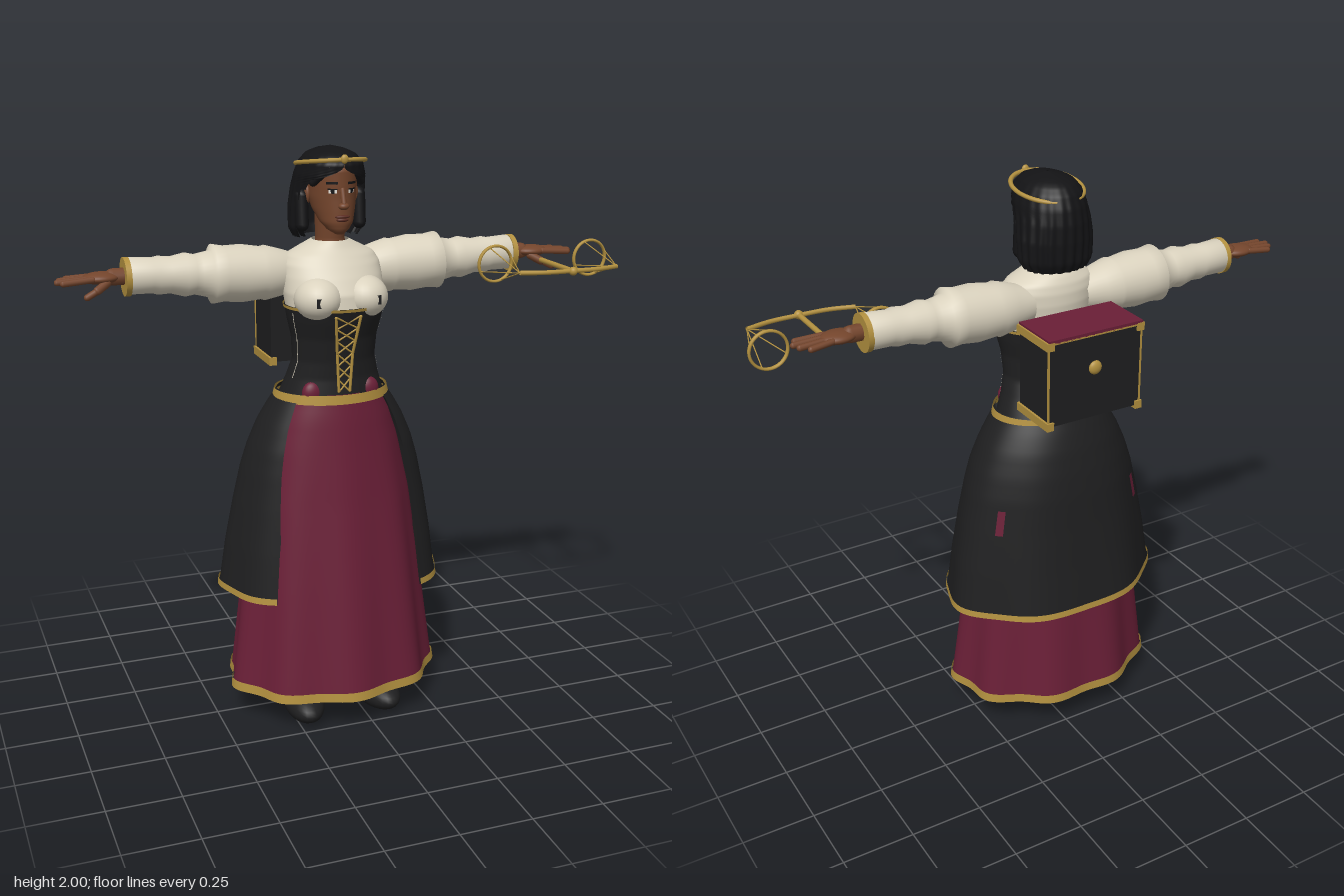
import * as THREE from 'three';
import { mergeVertices } from 'three/addons/utils/BufferGeometryUtils.js';

const paint = (name, color) => new THREE.MeshStandardMaterial({ name, color, side: THREE.DoubleSide });
const M = {
  black: paint('black cloth', 0x1f1f20), hair: paint('black hair', 0x131315), red: paint('wine red', 0x6a1f37),
  gold: paint('gold', 0xb2903f), cream: paint('cream linen', 0xdad2be), skin: paint('brown skin', 0x74452c),
  lip: paint('lip', 0x5a2c22), white: paint('eye white', 0xe8e4dc),
};
const V = (x, y, z) => new THREE.Vector3(x, y, z);

// Point on a stack of elliptical sections, each [y, half width, front z, back z]; angle 0 is the front
function surfacePoint(rows, a, y, { off = 0, amp = 0, n = 8 } = {}) {
  let i = 0;
  while (i < rows.length - 2 && y > rows[i + 1][0]) i++;
  const p = rows[i], q = rows[i + 1], t = THREE.MathUtils.clamp((y - p[0]) / (q[0] - p[0]), 0, 1);
  const [w, f, b] = [1, 2, 3].map(k => p[k] + (q[k] - p[k]) * t);
  const top = rows[rows.length - 1][0];
  const fold = 1 + amp * (top - y) / (top - rows[0][0]) * Math.cos(n * a);
  return V((w * fold + off) * Math.sin(a), y, (f + b) / 2 + ((f - b) / 2 * fold + off) * Math.cos(a));
}

// Smooth sheet over those sections; open(y) gives the half angle left open at the front
function loft(rows, o = {}) {
  const { ya = rows[0][0], yb = rows[rows.length - 1][0], a0 = 0, a1 = Math.PI * 2, open, seg = 72 } = o;
  const ys = [];
  for (let i = 0; i <= 36; i++) ys.push(ya + (yb - ya) * i / 36);
  const pos = [], idx = [];
  ys.forEach((y, j) => {
    const s = open ? open(y) : a0, e = open ? Math.PI * 2 - s : a1;
    for (let i = 0; i <= seg; i++) {
      pos.push(...surfacePoint(rows, s + (e - s) * i / seg, y, o).toArray());
      if (i < seg && j < 36) {
        const k = j * (seg + 1) + i, u = k + seg + 1;
        idx.push(k, k + 1, u + 1, k, u + 1, u);
      }
    }
  });
  let g = new THREE.BufferGeometry();
  g.setAttribute('position', new THREE.Float32BufferAttribute(pos, 3));
  g.setIndex(idx);
  g = mergeVertices(g, 1e-5);
  g.computeVertexNormals();
  return g;
}

export function createModel() {
  const root = new THREE.Group();
  root.name = 'womanWithScales';
  const body = new THREE.Group();
  body.name = 'figure';
  body.position.x = -0.07;
  root.add(body);

  const add = (name, geo, mat, p = [0, 0, 0], s = [1, 1, 1], parent = body) => {
    const m = new THREE.Mesh(geo, mat);
    m.name = name;
    m.position.set(...p);
    m.scale.set(...s);
    parent.add(m);
    return m;
  };
  const ball = new THREE.SphereGeometry(1, 28, 20);
  const box = (...d) => new THREE.BoxGeometry(...d);
  const rod = (name, a, b, r, mat, parent = body) => {
    const m = add(name, new THREE.CapsuleGeometry(r, Math.max(a.distanceTo(b) - r, 0.001), 4, 10), mat,
      a.clone().lerp(b, 0.5).toArray(), [1, 1, 1], parent);
    m.quaternion.setFromUnitVectors(V(0, 1, 0), b.clone().sub(a).normalize());
    return m;
  };

  // Skirts with gold hems
  const skirt = [[0.12, 0.37, 0.29, -0.275], [0.5, 0.325, 0.24, -0.24], [0.8, 0.285, 0.2, -0.205],
    [1, 0.24, 0.178, -0.17], [1.1, 0.205, 0.168, -0.145], [1.19, 0.16, 0.155, -0.12]];
  const folds = { amp: 0.035, n: 9 };
  add('underskirt', loft(skirt, { ...folds, seg: 120 }), M.red);
  add('underskirtHem', loft(skirt, { ...folds, seg: 120, yb: 0.152, off: 0.006 }), M.gold);
  const over = [[0.485, 0.395, 0.275, -0.275], [0.65, 0.373, 0.255, -0.25], [0.8, 0.345, 0.238, -0.23],
    [0.92, 0.318, 0.225, -0.217], [1, 0.293, 0.215, -0.203], [1.08, 0.258, 0.195, -0.183],
    [1.14, 0.222, 0.178, -0.16], [1.19, 0.188, 0.16, -0.135]];
  const drape = { amp: 0.022, n: 7, open: y => 0.72 + 0.15 * Math.max(0, (y - 0.7) / 0.49) };
  add('overskirt', loft(over, drape), M.black);
  add('overskirtHem', loft(over, { ...drape, yb: 0.507, off: 0.006 }), M.gold);
  for (const a of [2.2, Math.PI * 2 - 2.2])
    add('skirtPatch', loft(over, { amp: 0.022, n: 7, ya: 0.8, yb: 0.89, a0: a - 0.05, a1: a + 0.05, off: 0.004, seg: 4 }), M.red);

  // Bodice, belt and lacing
  const bodice = [[1.17, 0.185, 0.155, -0.125], [1.24, 0.16, 0.148, -0.09], [1.3, 0.143, 0.153, -0.066],
    [1.38, 0.148, 0.168, -0.07], [1.44, 0.162, 0.19, -0.086], [1.49, 0.17, 0.205, -0.095]];
  add('bodice', loft(bodice), M.black);
  add('bodiceTrim', loft(bodice, { ya: 1.48, yb: 1.49, off: 0.005 }), M.gold);
  const belt = [[1.16, 0.2, 0.166, -0.14], [1.192, 0.192, 0.162, -0.135]];
  add('belt', loft(belt, { off: 0.005 }), M.gold);
  const lace = (t, side) => surfacePoint(bodice, side * (0.11 + 0.15 * t), 1.2 + 0.265 * t, { off: 0.003 });
  for (const s of [-1, 1]) {
    rod('laceRail', lace(0, s), lace(0.5, s), 0.005, M.gold);
    rod('laceRail', lace(0.5, s), lace(1, s), 0.005, M.gold);
    for (let i = 0; i < 6; i++) rod('lace', lace(i / 6, s), lace((i + 1) / 6, -s), 0.003, M.gold);
    add('redTuft', ball, M.red, [s * 0.1, 1.195, 0.115], [0.036, 0.04, 0.025]);
    add('bustClasp', box(0.022, 0.03, 0.02), M.black, [s * 0.1, 1.515, 0.196]);
    const a = s * 1.25;
    add('bodiceSeam', loft(bodice, { ya: 1.24, yb: 1.47, a0: a - 0.012, a1: a + 0.012, off: 0.003, seg: 2 }), M.cream);
  }

  // Blouse and neck
  const blouse = [[1.48, 0.165, 0.19, -0.09], [1.53, 0.172, 0.185, -0.097], [1.58, 0.172, 0.158, -0.102],
    [1.62, 0.168, 0.132, -0.1], [1.65, 0.15, 0.11, -0.092], [1.67, 0.11, 0.095, -0.08], [1.695, 0.062, 0.08, -0.055]];
  add('blouse', loft(blouse), M.cream);
  for (const s of [-1, 1]) add('bust', ball, M.cream, [s * 0.08, 1.515, 0.122], [0.08, 0.072, 0.088]);
  add('neck', loft([[1.62, 0.055, 0.075, -0.05], [1.7, 0.048, 0.07, -0.045], [1.78, 0.05, 0.08, -0.05]]), M.skin);

  // Arms: sleeve, cuff and hand, mirrored
  const sleeve = [[0.06, 0.1], [0.08, 0.17], [0.092, 0.22], [0.088, 0.235], [0.096, 0.3], [0.092, 0.36], [0.098, 0.4],
    [0.078, 0.405], [0.07, 0.44], [0.066, 0.46], [0.072, 0.49], [0.06, 0.54], [0.063, 0.58], [0.058, 0.6], [0.06, 0.675], [0.04, 0.68]];
  for (const s of [-1, 1]) {
    const arm = new THREE.Group();
    arm.name = s > 0 ? 'leftArm' : 'rightArm';
    body.add(arm);
    const lathe = new THREE.LatheGeometry(sleeve.map(p => new THREE.Vector2(...p)), 32);
    add('sleeve', lathe, M.cream, [0, 1.577, -0.025], [1, 1, 1], arm).rotation.z = -s * (Math.PI / 2 - 0.04);
    const cuff = add('cuff', new THREE.CylinderGeometry(0.063, 0.063, 0.018, 32), M.gold, [s * 0.682, 1.602, -0.022], [1, 1, 1], arm);
    cuff.rotation.z = Math.PI / 2;
    rod('wrist', V(s * 0.66, 1.605, -0.02), V(s * 0.74, 1.605, -0.02), 0.028, M.skin, arm);
    add('palm', ball, M.skin, [s * 0.765, 1.605, -0.017], [0.06, 0.02, 0.046], arm);
    for (let i = 0; i < 4; i++) {
      const z = -0.048 + i * 0.021, len = [0.06, 0.085, 0.095, 0.08][i];
      rod('finger', V(s * 0.79, 1.606, z), V(s * (0.815 + len), 1.6, z * 1.35 + 0.005), 0.0105, M.skin, arm);
    }
    rod('thumb', V(s * 0.745, 1.595, 0.01), V(s * 0.79, 1.57, 0.034), 0.014, M.skin, arm);
    rod('thumbTip', V(s * 0.79, 1.57, 0.034), V(s * 0.825, 1.553, 0.042), 0.011, M.skin, arm);
  }

  // Head and face
  const head = [[1.722, 0.012, 0.12, 0.09], [1.735, 0.034, 0.133, 0.05], [1.76, 0.054, 0.14, 0.01], [1.8, 0.068, 0.14, -0.05],
    [1.84, 0.077, 0.139, -0.08], [1.88, 0.08, 0.141, -0.09], [1.93, 0.08, 0.142, -0.09], [1.965, 0.06, 0.11, -0.06], [1.98, 0.01, 0.04, 0.01]];
  add('head', loft(head), M.skin);
  const face = (name, mat, ya, yb, a0, a1, off) => add(name, loft(head, { ya, yb, a0, a1, off, seg: 8 }), mat);
  for (const s of [-1, 1]) {
    const span = (a, b) => s > 0 ? [a, b] : [-b, -a];
    face('eyeWhite', M.white, 1.858, 1.869, ...span(0.25, 0.56), 0.002);
    face('iris', M.hair, 1.857, 1.87, ...span(0.34, 0.48), 0.003);
    face('eyelid', M.hair, 1.869, 1.873, ...span(0.22, 0.6), 0.004);
    face('eyebrow', M.hair, 1.886, 1.894, ...span(0.2, 0.65), 0.003);
    add('ear', ball, M.skin, [s * 0.083, 1.845, 0.02], [0.012, 0.032, 0.02]);
  }
  rod('noseBridge', V(0, 1.872, 0.136), V(0, 1.822, 0.152), 0.009, M.skin);
  add('noseTip', ball, M.skin, [0, 1.817, 0.149], [0.018, 0.012, 0.016]);
  add('upperLip', ball, M.lip, [0, 1.782, 0.137], [0.025, 0.006, 0.011]);
  add('lowerLip', ball, M.lip, [0, 1.772, 0.137], [0.021, 0.007, 0.011]);

  // Bobbed hair, parted around the face
  const bob = [[1.7, 0.108, 0.05, -0.12], [1.73, 0.125, 0.075, -0.135], [1.8, 0.128, 0.09, -0.14], [1.86, 0.122, 0.115, -0.14],
    [1.91, 0.115, 0.148, -0.132], [1.95, 0.102, 0.153, -0.115], [1.975, 0.08, 0.128, -0.09], [1.99, 0.05, 0.09, -0.055], [2, 0.003, 0.02, 0.014]];
  const hairline = y => 1.12 * (1 - THREE.MathUtils.smoothstep(y, 1.87, 1.945));
  add('hair', loft(bob, { amp: 0.035, n: 22, open: hairline, seg: 132 }), M.hair);
  add('hairLining', loft(bob, { open: hairline, yb: 1.94, off: -0.022 }), M.hair);
  for (const s of [-1, 1]) {
    rod('sideLock', V(s * 0.1, 1.85, 0.015), V(s * 0.1, 1.735, 0.025), 0.023, M.hair);
    rod('fringe', V(s * 0.035, 1.945, 0.13), V(s * 0.085, 1.885, 0.08), 0.014, M.hair);
  }

  // Tilted circlet
  const circlet = add('circlet', new THREE.TorusGeometry(1, 0.065, 10, 56), M.gold, [0, 1.948, 0.02], [0.112, 0.133, 0.112]);
  circlet.rotation.x = Math.PI / 2 - 0.13;
  add('circletGem', ball, M.gold, [0, 1.968, 0.158], [0.013, 0.015, 0.009]);

  // Shoes and ankles
  for (const s of [-1, 1]) {
    const shoe = new THREE.SphereGeometry(1, 28, 20), p = shoe.attributes.position;
    for (let i = 0; i < p.count; i++) {
      const z = p.getZ(i);
      p.setY(i, Math.max(p.getY(i), -0.6) * (1 - 0.15 * z));
      p.setX(i, p.getX(i) * (1 + 0.15 * z));
    }
    shoe.computeVertexNormals();
    const foot = add('shoe', shoe, M.black, [s * 0.135, 0.05, 0.068], [0.07, 0.07, 0.178]);
    foot.rotation.y = s * 0.1;
    add('ankle', new THREE.CylinderGeometry(0.055, 0.05, 0.3, 24), M.black, [s * 0.13, 0.21, -0.035]);
  }

  // Back box with red lid and gold fittings
  add('backBox', box(0.35, 0.29, 0.18), M.black, [0, 1.4, -0.195]);
  add('boxLid', box(0.354, 0.014, 0.19), M.red, [0, 1.552, -0.197]);
  for (const y of [1.258, 1.538]) for (const s of [-1, 1])
    add('boxRail', box(0.026, 0.028, 0.195), M.gold, [s * 0.17, y, -0.195]);
  for (const z of [-0.289, -0.104]) add('lidEdge', box(0.35, 0.006, 0.006), M.gold, [0, 1.546, z]);
  for (const s of [-1, 1]) add('boxEdge', box(0.006, 0.28, 0.006), M.gold, [s * 0.175, 1.4, -0.285]);
  add('boxKnob', ball, M.gold, [0, 1.43, -0.285], [0.024, 0.024, 0.014]);

  // Balance scales held in the left hand, lying forward
  const scales = new THREE.Group();
  scales.name = 'scales';
  scales.position.set(0.78, 1.578, 0);
  body.add(scales);
  rod('handle', V(0, 0, 0.03), V(0, 0, 0.265), 0.009, M.gold, scales);
  add('pivot', ball, M.gold, [0, 0, 0.27], [0.015, 0.015, 0.015], scales);
  const beam = new THREE.CatmullRomCurve3([V(-0.185, 0, 0.24), V(-0.1, 0, 0.262), V(0, 0, 0.265), V(0.1, 0, 0.262), V(0.185, 0, 0.24)]);
  add('beam', new THREE.TubeGeometry(beam, 32, 0.008, 8), M.gold, [0, 0, 0], [1, 1, 1], scales);
  for (const s of [-1, 1]) {
    const x = s * 0.185;
    add('panRim', new THREE.TorusGeometry(0.062, 0.005, 8, 40), M.gold, [x, 0, 0.052], [1, 1, 1.6], scales);
    for (let i = 0; i < 4; i++) {
      const a = i * Math.PI / 2 + 0.4;
      rod('panCord', V(x + 0.062 * Math.cos(a), 0.062 * Math.sin(a), 0.055), V(x, 0, 0.24), 0.002, M.gold, scales);
    }
  }
  return root;
}
